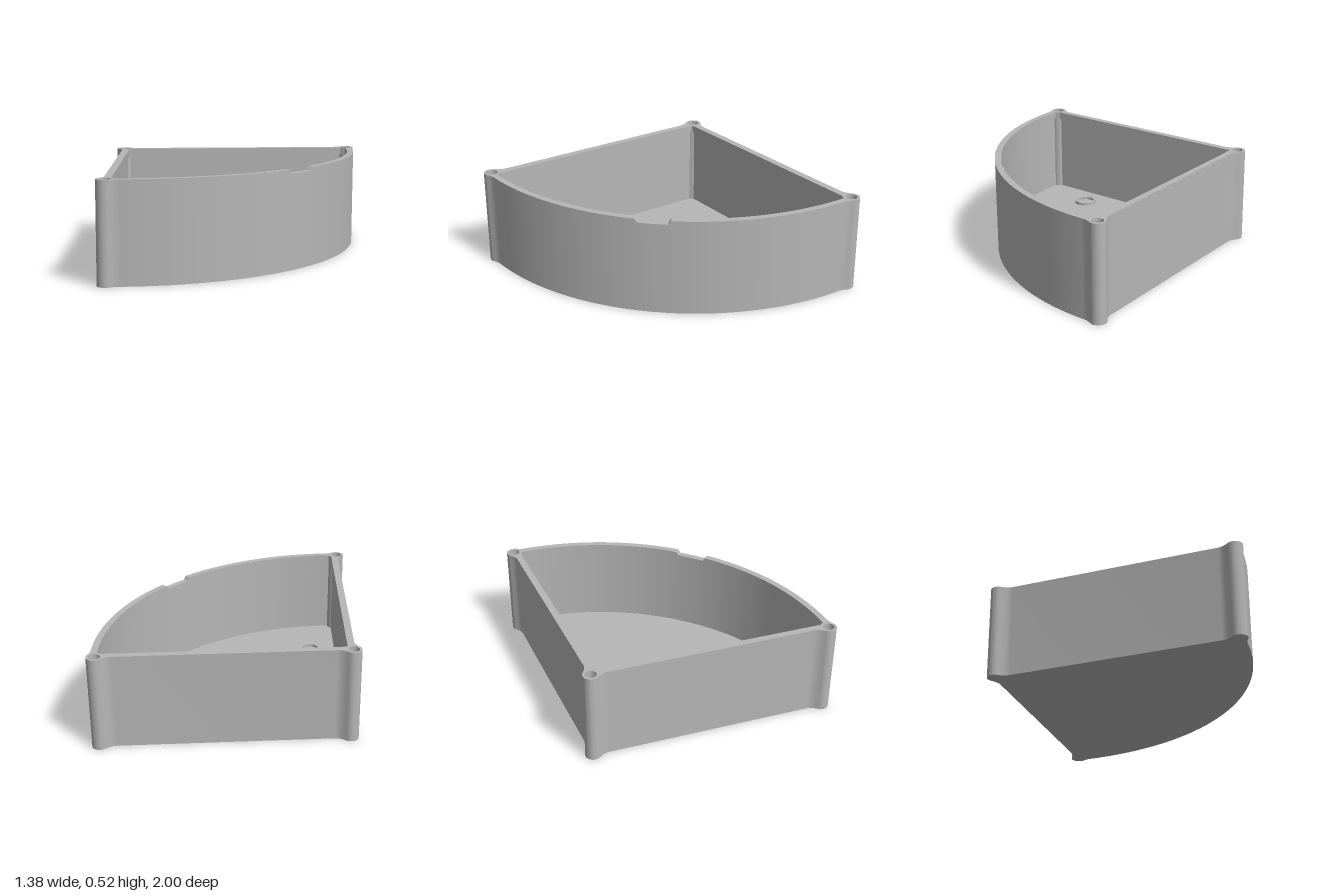
import * as THREE from 'three';
import { toCreasedNormals } from 'three/addons/utils/BufferGeometryUtils.js';

const TOP = 0.52, NOTCH = 0.5, LIP = 0.48, FLOOR = 0.04;
const R = 1.34, L = 1.317, POST = 0.043, HOLE = 0.03, HOLE_FLOOR = 0.2;
const D = Math.atan2(0.957, 0.905);          // half angle of the sector
const A1 = 0.092 / R, A2 = 0.078 / R;        // notch edge angles, top and bottom
const APEX = new THREE.Vector2(-0.65, 0);
const polar = (r, a) => new THREE.Vector2(APEX.x + r * Math.cos(a), r * Math.sin(a));
const CORNER = polar(L, D);
const CORNER2 = polar(L, -D);
const rad = THREE.MathUtils.degToRad;

// Point in the side wall's frame: t along the wall, off outwards from it
const onWall = (t, off) => new THREE.Vector2(
  APEX.x + t * Math.cos(D) - off * Math.sin(D), t * Math.sin(D) + off * Math.cos(D));

function arc(c, r, a0, a1, n) {
  return Array.from({ length: n + 1 }, (_, i) => {
    const a = a0 + (a1 - a0) * i / n;
    return new THREE.Vector2(c.x + r * Math.cos(a), c.y + r * Math.sin(a));
  });
}
const bend = (a, b, c) => new THREE.QuadraticBezierCurve(a, b, c).getPoints(6).slice(1);
const notchPoints = (r) => [polar(r, A2), polar(r, 0)];

// Half outlines, running from the apex to the middle of the curved wall
function outerHalf() {
  const s = 0.007, post1 = arc(APEX, POST, Math.PI, D + rad(50), 12);
  const post2 = arc(CORNER, POST, D + rad(130), D - rad(30), 20);
  return [
    ...post1, ...bend(post1.at(-1), onWall(0.059, s), onWall(0.085, s)),
    onWall(L - 0.085, s), ...bend(onWall(L - 0.085, s), onWall(L - 0.059, s), post2[0]),
    ...post2.slice(1), ...bend(post2.at(-1), onWall(L + 0.023, -0.046), polar(R, D - 0.052)),
    ...arc(APEX, R, D - 0.052, A1, 40).slice(1), ...notchPoints(R),
  ];
}
function innerHalf(off, r, post) {
  const a = Math.asin(off / post), e = Math.asin((L - r) / post);
  return [
    ...arc(APEX, post, 0, D - a, 6),
    ...arc(CORNER, post, D - Math.PI + a, D - Math.PI / 2 - e, 8),
    ...arc(APEX, r, D - Math.asin(post * Math.cos(e) / r), A1, 40).slice(1), ...notchPoints(r),
  ];
}
const mirror = (pts) => pts.map((p) => new THREE.Vector2(p.x, -p.y));
const fullLoop = (h) => [...h, ...mirror(h.slice(1, -1)).reverse()];
const openLoop = (h) => [...mirror(h.slice(1, -2)).reverse(), ...h.slice(0, -2)];

// Upright wall along a clockwise loop
function band(loop, y0, topY, inward) {
  const pos = [], idx = [], n = loop.length;
  loop.forEach((p, i) => {
    pos.push(p.x, y0, -p.y, p.x, topY(p), -p.y);
    const b = 2 * i, c = 2 * ((i + 1) % n);
    if (inward) idx.push(b, c + 1, b + 1, b, c, c + 1);
    else idx.push(b, b + 1, c + 1, b, c + 1, c);
  });
  return build(pos, idx);
}
function build(pos, idx) {
  const g = new THREE.BufferGeometry();
  g.setAttribute('position', new THREE.Float32BufferAttribute(pos, 3));
  g.setIndex(idx);
  return toCreasedNormals(g, 0.6);
}
// Flat face with holes, facing up or down
function cap(loop, holes, y, down) {
  const s = new THREE.Shape(loop);
  s.holes = holes.map((h) => new THREE.Path(h));
  return new THREE.ShapeGeometry(s).rotateX(down ? Math.PI / 2 : -Math.PI / 2).translate(0, y, 0);
}

export function createModel() {
  const model = new THREE.Group();
  model.name = 'sectorTray';
  const grey = new THREE.MeshStandardMaterial({ color: 0xb6b6b6 });
  grey.name = 'grey';
  const add = (name, geometry) => {
    const m = new THREE.Mesh(geometry, grey);
    m.name = name;
    model.add(m);
    return m;
  };
  const outer = outerHalf();
  const lip = innerHalf(0.031, 1.305, 0.046);
  const inner = innerHalf(0.021, 1.315, POST);
  const rimY = (p) => (p.x > 0.6 && Math.abs(p.y) < 0.081 ? NOTCH : TOP);
  const posts = [APEX, CORNER, CORNER2];
  const holes = posts.map((c) => arc(c, HOLE, 2 * Math.PI, 0, 32).slice(0, -1));

  // Walls, floor and overhanging lip
  add('outerWall', band(fullLoop(outer), 0, rimY, false));
  add('underside', cap(fullLoop(outer), [], 0, true));
  add('innerWall', band(fullLoop(inner), FLOOR, () => LIP, true));
  add('floor', cap(fullLoop(inner), [], FLOOR, false));
  add('lipUnderside', cap(fullLoop(inner), [fullLoop(lip)], LIP, true));
  add('lipInnerFace', band(fullLoop(lip), LIP, rimY, true));
  add('rim', cap([...openLoop(outer), ...openLoop(lip).reverse()], holes, TOP, false));

  // Shallow notch in the rim of the curved wall
  const pos = [], idx = [];
  [A1, A2, 0, -A2, -A1].forEach((a, i) => {
    const y = Math.abs(a) === A1 ? TOP : NOTCH;
    const o = polar(R, a), n = polar(1.305, a), k = 2 * i;
    pos.push(o.x, y, -o.y, n.x, y, -n.y);
    if (i < 4) idx.push(k, k + 1, k + 3, k, k + 3, k + 2);
  });
  add('rimNotch', build(pos, idx));

  // Blind holes in the corner posts
  holes.forEach((h) => {
    add('postHoleWall', band(h, HOLE_FLOOR, () => TOP, true));
    add('postHoleFloor', cap(h, [], HOLE_FLOOR, false));
  });

  // Low rings on the floor
  const ring = new THREE.Shape().absarc(0, 0, 0.062, 0, 2 * Math.PI);
  ring.holes.push(new THREE.Path().absarc(0, 0, 0.048, 0, 2 * Math.PI, true));
  const ringGeometry = toCreasedNormals(new THREE.ExtrudeGeometry(ring,
    { depth: 0.015, bevelEnabled: false, curveSegments: 32 }).rotateX(-Math.PI / 2), 0.6);
  [[-0.24, 0], [0.135, 0.585], [0.135, -0.585]].forEach(([x, z]) =>
    add('floorRing', ringGeometry).position.set(x, FLOOR, z));

  return model;
}
